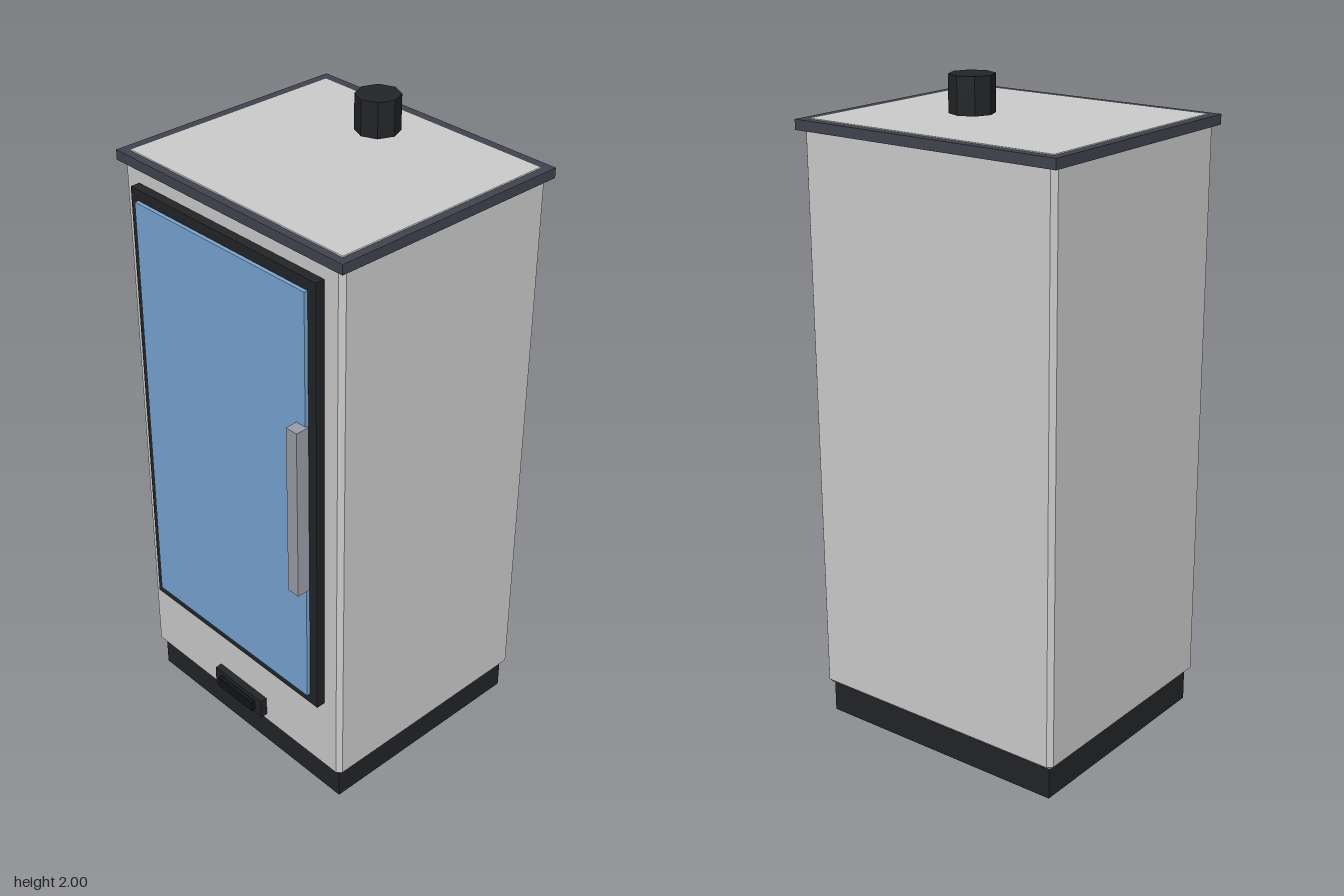
import * as THREE from 'three';
import { ConvexGeometry } from 'three/addons/geometries/ConvexGeometry.js';

const mat = (color) => new THREE.MeshStandardMaterial({ color });

// Box given by its extents on each axis
function slab(name, [x0, x1], [y0, y1], [z0, z1], material) {
  const mesh = new THREE.Mesh(new THREE.BoxGeometry(x1 - x0, y1 - y0, z1 - z0), material);
  mesh.position.set((x0 + x1) / 2, (y0 + y1) / 2, (z0 + z1) / 2);
  mesh.name = name;
  return mesh;
}

// Box with every edge chamfered by c: three points around each corner
function chamferBox(w, h, d, c) {
  const points = [];
  for (const sx of [-1, 1]) for (const sy of [-1, 1]) for (const sz of [-1, 1]) {
    for (let axis = 0; axis < 3; axis++) {
      const inset = [c, c, c];
      inset[axis] = 0;
      points.push(new THREE.Vector3(
        sx * (w / 2 - inset[0]), sy * (h / 2 - inset[1]), sz * (d / 2 - inset[2])));
    }
  }
  return new ConvexGeometry(points);
}

export function createModel() {
  const model = new THREE.Group();
  model.name = 'stove';
  const grey = mat(0xcccccc);
  const black = mat(0x222427);
  const darkest = mat(0x121315);
  const slate = mat(0x40444e);
  const blue = mat(0x78a5d2);
  const steel = mat(0x9a9ea6);

  // Cabinet; its flat top shows inside the lid rim
  const body = new THREE.Mesh(chamferBox(0.868, 1.763, 0.76, 0.014), grey);
  body.position.set(0, 0.9805, -0.033);
  body.name = 'body';
  model.add(body);

  // Plinth and lid rim
  model.add(slab('base', [-0.415, 0.415], [0, 0.102], [-0.394, 0.328], black));
  model.add(slab('lidRim', [-0.448, 0.448], [1.83, 1.86], [-0.428, 0.36], slate));

  // Door with glass and handle
  const door = new THREE.Group();
  door.name = 'door';
  door.add(slab('doorFrame', [-0.37, 0.37], [0.362, 1.783], [0.34, 0.376], black));
  door.add(slab('doorGlass', [-0.34, 0.34], [0.397, 1.75], [0.37, 0.388], blue));
  door.add(slab('doorHandle', [0.307, 0.348], [0.8, 1.347], [0.383, 0.426], steel));
  model.add(door);

  // Air vent below the door
  const vent = new THREE.Group();
  vent.name = 'airVent';
  vent.add(slab('ventPlate', [-0.108, 0.108], [0.135, 0.2], [0.34, 0.37], black));
  vent.add(slab('ventSlider', [-0.08, 0.08], [0.15, 0.184], [0.36, 0.384], darkest));
  model.add(vent);

  // Eight-sided flue collar, standing clear of the lid
  const flue = new THREE.Mesh(new THREE.CylinderGeometry(0.065, 0.065, 0.106, 8), black.clone());
  flue.material.flatShading = true;
  flue.position.set(0, 1.947, -0.2);
  flue.name = 'flueCollar';
  model.add(flue);

  return model;
}
